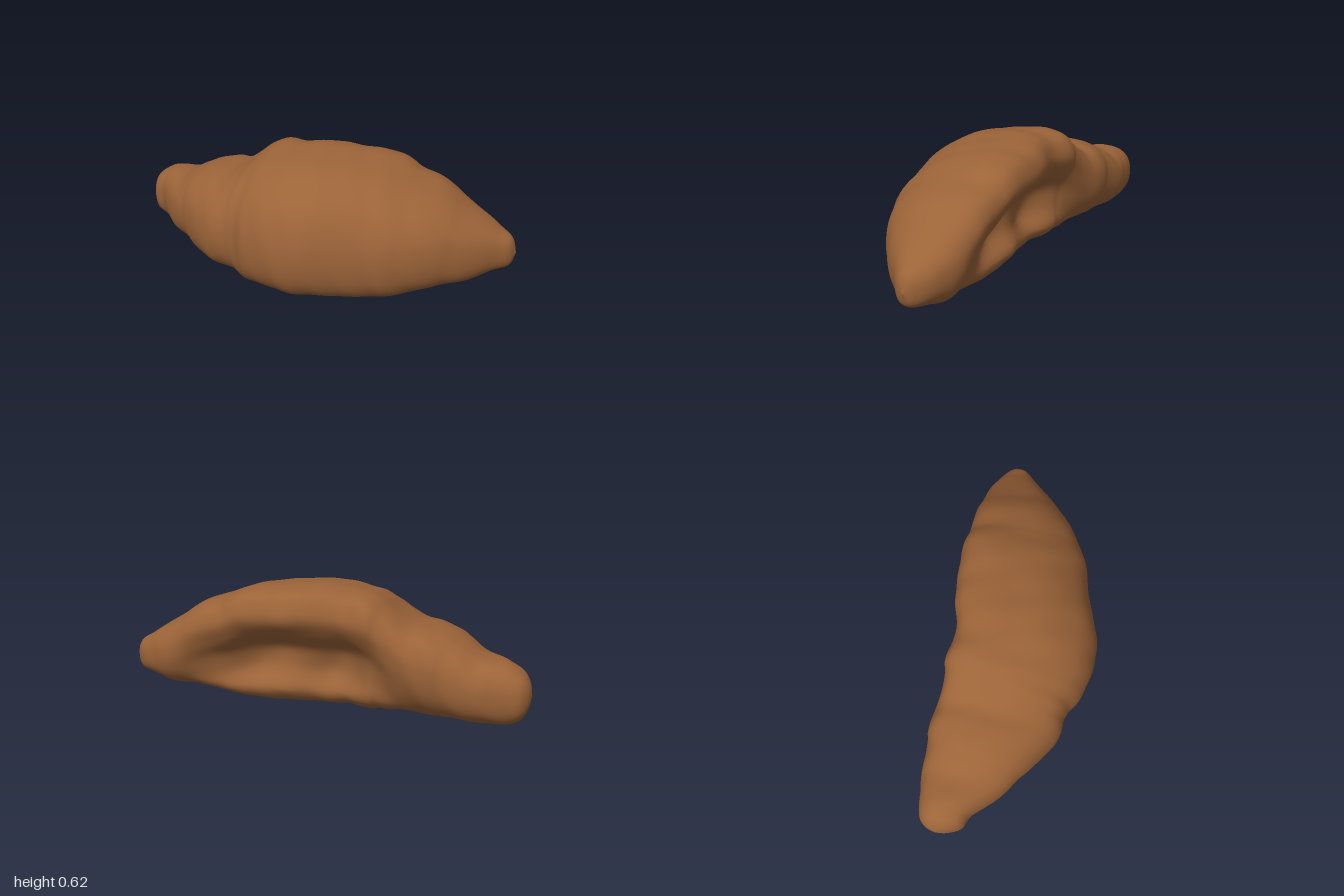
import * as THREE from 'three';

// Stations along the roll: x, bottom y, top y, back z, front z
const stations = [
  [-1, 0.2, 0.2, -0.22, -0.22], [-0.985, 0.13, 0.26, -0.27, -0.16], [-0.95, 0.075, 0.305, -0.31, -0.1],
  [-0.88, 0.05, 0.34, -0.33, -0.065], [-0.76, 0.035, 0.355, -0.345, 0.05], [-0.66, 0.028, 0.41, -0.35, 0.12],
  [-0.52, 0.02, 0.458, -0.35, 0.22], [-0.42, 0.018, 0.475, -0.335, 0.275], [-0.29, 0.014, 0.555, -0.325, 0.285],
  [-0.21, 0.01, 0.592, -0.322, 0.33], [-0.08, 0.006, 0.61, -0.318, 0.37], [0.06, 0.003, 0.62, -0.35, 0.372],
  [0.2, 0.006, 0.61, -0.372, 0.335], [0.37, 0.01, 0.59, -0.375, 0.27], [0.49, 0.015, 0.538, -0.375, 0.24],
  [0.63, 0.038, 0.488, -0.372, 0.155], [0.78, 0.052, 0.385, -0.358, 0.04], [0.91, 0.09, 0.3, -0.312, -0.1],
  [0.975, 0.115, 0.255, -0.265, -0.165], [1, 0.18, 0.18, -0.22, -0.22],
];

// Unit cross-section of the middle: depth (back -1 .. front 1), height 0 .. 1, and how far the hollow cuts in
const middle = [
  [0.78, 0, 0], [0.95, 0.13, 0], [1, 0.33, 0], [0.94, 0.55, 0], [0.8, 0.71, 0], [0.52, 0.85, 0],
  [0.2, 0.94, 0], [-0.2, 0.985, 0], [-0.58, 1, 0], [-0.9, 0.93, 0], [-1, 0.78, 0], [-1, 0.62, 0.18],
  [-0.97, 0.46, 0.46], [-0.9, 0.29, 0.42], [-0.78, 0.13, 0.14], [-0.52, 0.02, 0], [0.2, 0, 0],
];
const { smoothstep: smooth, lerp } = THREE.MathUtils;
const RINGS = 170, AROUND = 72;

// Closed section that blends from a rounded arm to the leaning, hollowed middle
function sectionAt(lean, hollow) {
  const points = middle.map(([u, v, cut], k) => {
    const a = -0.85 + (k / middle.length) * Math.PI * 2;
    const soft = (c) => Math.sign(c) * Math.pow(Math.abs(c), 0.85);
    return new THREE.Vector3(
      lerp(soft(Math.cos(a)), u, lean) + cut * hollow,
      lerp(0.5 + 0.5 * soft(Math.sin(a)), v, lean), 0);
  });
  return new THREE.CatmullRomCurve3(points, true, 'centripetal');
}

// Rolled layers: position and height of each pastry edge, stepping down towards the tip
const layerEdges = [[-0.83, 0.02], [-0.6, 0.025], [-0.28, 0.03], [0.46, 0.01], [0.68, 0.015], [0.87, 0.02]];
function layerStep(x, slant) {
  let s = 0;
  for (const [edge, height] of layerEdges) {
    const d = (edge + slant * Math.sign(edge) - x) * Math.sign(edge); // positive towards the middle
    s += height * smooth(d, -0.025, 0.015) * (1 - smooth(d, 0.02, 0.17));
  }
  return s;
}

function pastryGeometry() {
  const heights = new THREE.CatmullRomCurve3(stations.map(([x, b, t]) => new THREE.Vector3(x, b, t)), false, 'catmullrom');
  const depths = new THREE.CatmullRomCurve3(stations.map((s) => new THREE.Vector3(s[0], s[3], s[4])), false, 'catmullrom');
  const positions = [], index = [];
  for (let i = 0; i <= RINGS; i++) {
    const t = i / RINGS, h = heights.getPoint(t), d = depths.getPoint(t), x = h.x;
    const lean = 1 - smooth(Math.abs(x - 0.08), 0.25, 0.95);
    const hollow = 1 - smooth(Math.abs(x - 0.17), 0.15, 0.65);
    const section = sectionAt(lean, hollow);
    const cy = (h.y + h.z) / 2, cz = (d.y + d.z) / 2;
    const tip = 1 - smooth(Math.abs(x), 0.9, 1);
    for (let j = 0; j < AROUND; j++) {
      const p = section.getPoint(j / AROUND);
      const a = (j / AROUND) * Math.PI * 2;
      // Layer edges and gentle lumps in the crust
      const lumps = 0.006 * Math.sin(9 * x + 3 * a) + 0.006 * Math.sin(23 * x - 2 * a + 1) + 0.004 * Math.sin(41 * x + 5 * a);
      const k = 0.99 + (layerStep(x, 0.05 * Math.sin(a)) + lumps) * tip;
      // Creased folds inside the hollow
      const inside = p.x < -0.2 ? hollow * smooth(p.y, 0.02, 0.25) * (1 - smooth(p.y, 0.5, 0.75)) : 0;
      const fold = inside * 0.05 * Math.sin(15 * x + 6 * p.y + 1);
      positions.push(
        x,
        Math.max(0, cy + (p.y - 0.5) * (h.z - h.y) * k),
        cz + (p.x * k + fold) * (d.z - d.y) * 0.5);
    }
  }
  for (let i = 0; i < RINGS; i++) {
    for (let j = 0; j < AROUND; j++) {
      const j2 = (j + 1) % AROUND;
      const a = i * AROUND + j, b = a + AROUND, c = i * AROUND + j2, e = c + AROUND;
      index.push(a, b, c, b, e, c);
    }
  }
  const geometry = new THREE.BufferGeometry();
  geometry.setAttribute('position', new THREE.Float32BufferAttribute(positions, 3));
  geometry.setIndex(index);
  geometry.computeVertexNormals();
  return geometry;
}

export function createModel() {
  const group = new THREE.Group();
  group.name = 'croissant';
  const crust = new THREE.MeshStandardMaterial({ color: 0x9b6338 });
  crust.name = 'bakedCrust';
  const pastry = new THREE.Mesh(pastryGeometry(), crust);
  pastry.name = 'pastry';
  group.add(pastry);
  return group;
}
